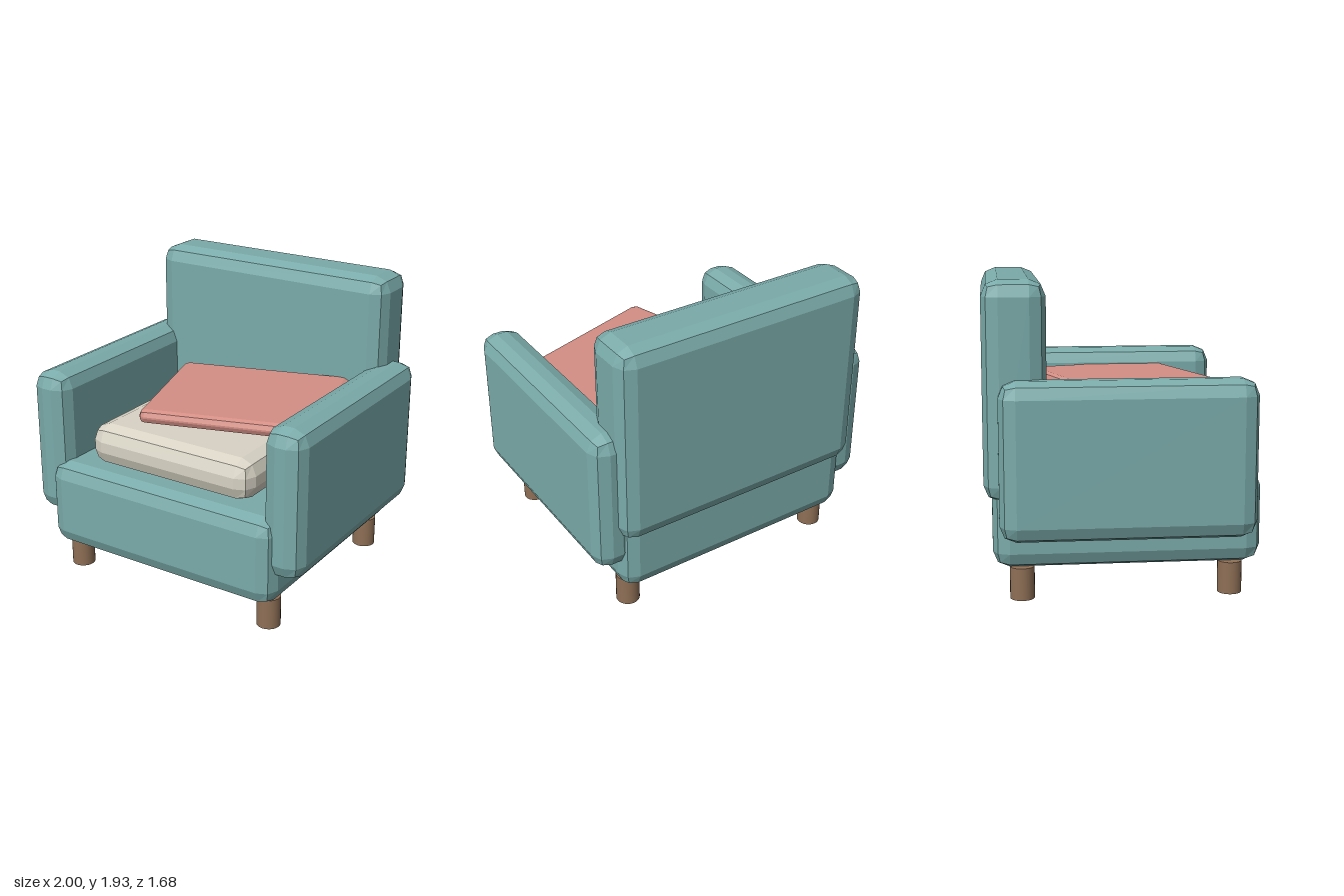
import * as THREE from 'three';
import { RoundedBoxGeometry } from 'three/addons/geometries/RoundedBoxGeometry.js';

const paint = (name, color, flatShading = true) => {
  const m = new THREE.MeshStandardMaterial({ color, flatShading });
  m.name = name;
  return m;
};

export function createModel() {
  const chair = new THREE.Group();
  chair.name = 'armchair';

  const teal = paint('tealFabric', 0x7aabaa);
  const cream = paint('creamFabric', 0xd8d3c5);
  const coral = paint('coralFabric', 0xd48f85);
  const wood = paint('wood', 0x8f7056, false);

  // Upholstered block with a two-facet bevel, given by its extents
  const block = (name, material, [x0, x1], [y0, y1], [z0, z1], bevel = 0.1) => {
    const geo = new RoundedBoxGeometry(x1 - x0, y1 - y0, z1 - z0, 1, bevel);
    const mesh = new THREE.Mesh(geo, material);
    mesh.name = name;
    mesh.position.set((x0 + x1) / 2, (y0 + y1) / 2, (z0 + z1) / 2);
    chair.add(mesh);
    return mesh;
  };

  // Frame
  block('seatBase', teal, [-0.84, 0.84], [0.2, 0.77], [-0.79, 0.84]);
  block('backrest', teal, [-0.865, 0.865], [0.61, 1.93], [-0.84, -0.46]);
  block('leftArm', teal, [0.73, 1], [0.39, 1.35], [-0.75, 0.79]);
  block('rightArm', teal, [-1, -0.73], [0.39, 1.35], [-0.75, 0.79]);

  // Cushions; the thin one is turned on the seat
  block('seatCushion', cream, [-0.6, 0.6], [0.77, 1.04], [-0.49, 0.71]);
  const pillow = block('throwPillow', coral, [-0.345, 0.805], [1.15, 1.24], [-0.375, 0.595], 0.04);
  pillow.rotation.y = 0.3;

  // Legs
  const legGeo = new THREE.CylinderGeometry(0.075, 0.075, 0.2, 24);
  for (const side of [-1, 1]) {
    for (const [end, z] of [['front', 0.66], ['back', -0.615]]) {
      const leg = new THREE.Mesh(legGeo, wood);
      leg.name = end + (side > 0 ? 'LeftLeg' : 'RightLeg');
      leg.position.set(side * 0.73, 0.1, z);
      chair.add(leg);
    }
  }
  return chair;
}
